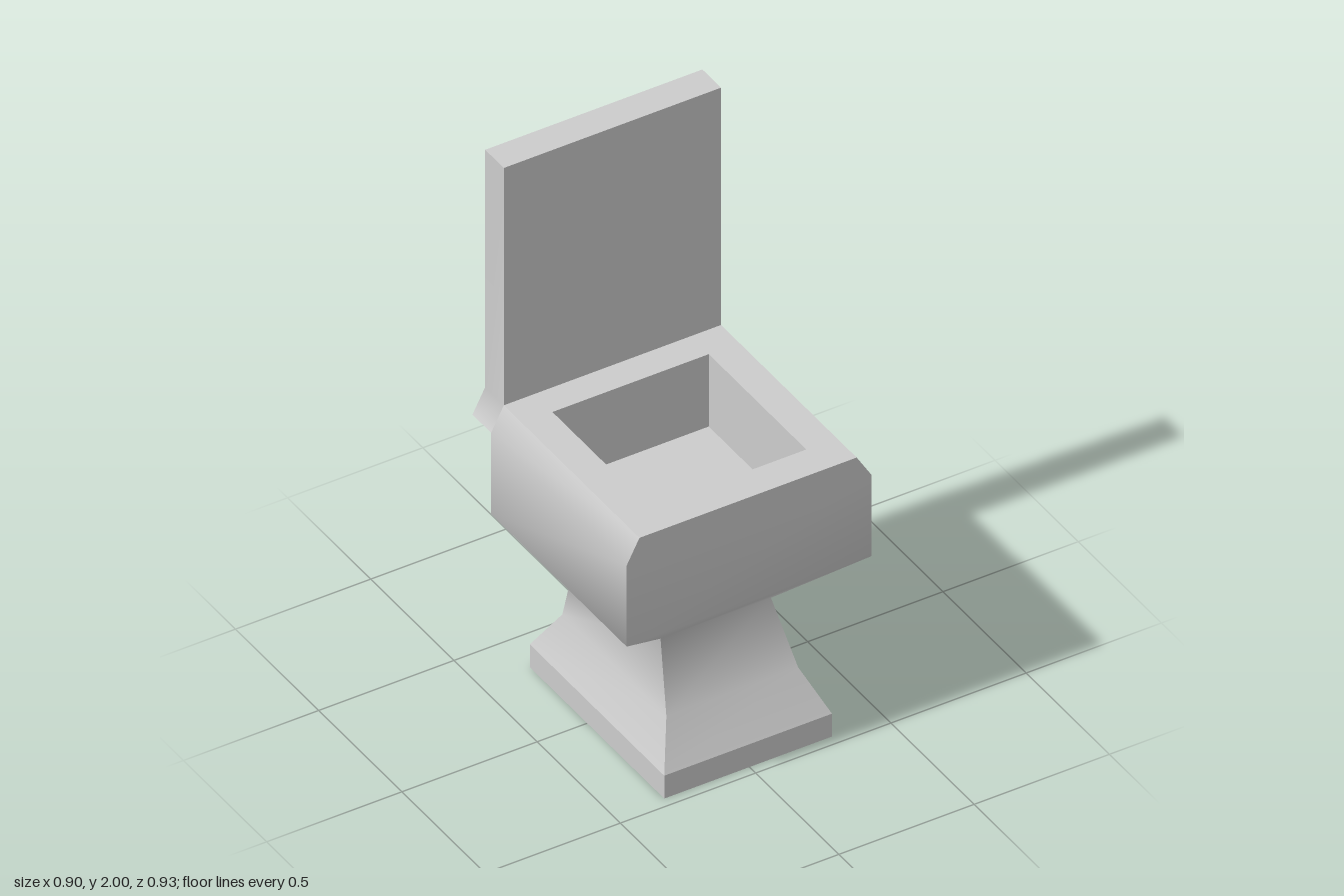
import * as THREE from 'three';

// Four-sided loft through rectangles [y, x0, x1, z0, z1]: smooth along its height, sharp at the corners.
// Rings listed from top to bottom make an inward-facing surface.
function loft(rings, { bottom = false, top = false } = {}) {
  const positions = [], index = [];
  const corners = ([y, x0, x1, z0, z1]) => [[x0, y, z1], [x1, y, z1], [x1, y, z0], [x0, y, z0]];
  const quad = (a, b, c, d) => index.push(a, b, c, a, c, d);

  for (let side = 0; side < 4; side++) {
    const start = positions.length / 3;
    rings.forEach((ring, i) => {
      const c = corners(ring);
      positions.push(...c[side], ...c[(side + 1) % 4]);
      const k = start + i * 2;
      if (i > 0) quad(k - 2, k - 1, k + 1, k);
    });
  }
  const cap = (ring, up) => {
    const k = positions.length / 3;
    positions.push(...corners(ring).flat());
    if (up) quad(k, k + 1, k + 2, k + 3);
    else quad(k + 3, k + 2, k + 1, k);
  };
  if (bottom) cap(rings[0], false);
  if (top) cap(rings[rings.length - 1], true);

  const geometry = new THREE.BufferGeometry();
  geometry.setAttribute('position', new THREE.Float32BufferAttribute(positions, 3));
  geometry.setIndex(index);
  geometry.computeVertexNormals();
  return geometry;
}

// Rectangle outline drawn in x and -z
function rectangle(Type, x0, x1, z0, z1) {
  return new Type([[x0, -z1], [x1, -z1], [x1, -z0], [x0, -z0]].map(([x, y]) => new THREE.Vector2(x, y)));
}

export function createModel() {
  const group = new THREE.Group();
  const porcelain = new THREE.MeshStandardMaterial({ color: 0xcccccc });
  porcelain.name = 'porcelain grey';

  const add = (name, geometry) => {
    const mesh = new THREE.Mesh(geometry, porcelain);
    mesh.name = name;
    group.add(mesh);
  };

  const foot = [-0.315, 0.305, -0.345, 0.463];
  const wide = [-0.455, 0.45, -0.35, 0.465];
  const rim = [-0.408, 0.395, -0.35, 0.465];
  const opening = [-0.296, 0.282, -0.24, 0.346];
  const rimY = 1.065;

  // Straight plinth on the floor
  add('plinth', loft([[0, ...foot], [0.09, ...foot]], { bottom: true }));

  // Waisted pedestal flowing into the bowl
  add('pedestalAndBowl', loft([
    [0.09, ...foot],
    [0.24, -0.25, 0.237, -0.255, 0.37],
    [0.465, -0.21, 0.198, -0.237, 0.27],
    [0.655, ...wide],
    [0.975, ...wide],
    [rimY, ...rim],
  ]));

  // Flat rim around the opening
  const rimShape = rectangle(THREE.Shape, ...rim);
  rimShape.holes.push(rectangle(THREE.Path, ...opening));
  add('rim', new THREE.ShapeGeometry(rimShape).rotateX(-Math.PI / 2).translate(0, rimY, 0));

  // Sunken basin with a flat floor
  add('basin', loft([[rimY, ...opening], [0.78, ...opening]], { top: true }));

  // Raised lid, flared at its foot
  const lidZ = [-0.462, -0.35];
  add('lid', loft([
    [0.975, -0.455, 0.45, ...lidZ],
    [rimY, -0.408, 0.395, ...lidZ],
    [2, -0.408, 0.395, ...lidZ],
  ], { bottom: true, top: true }));

  return group;
}
